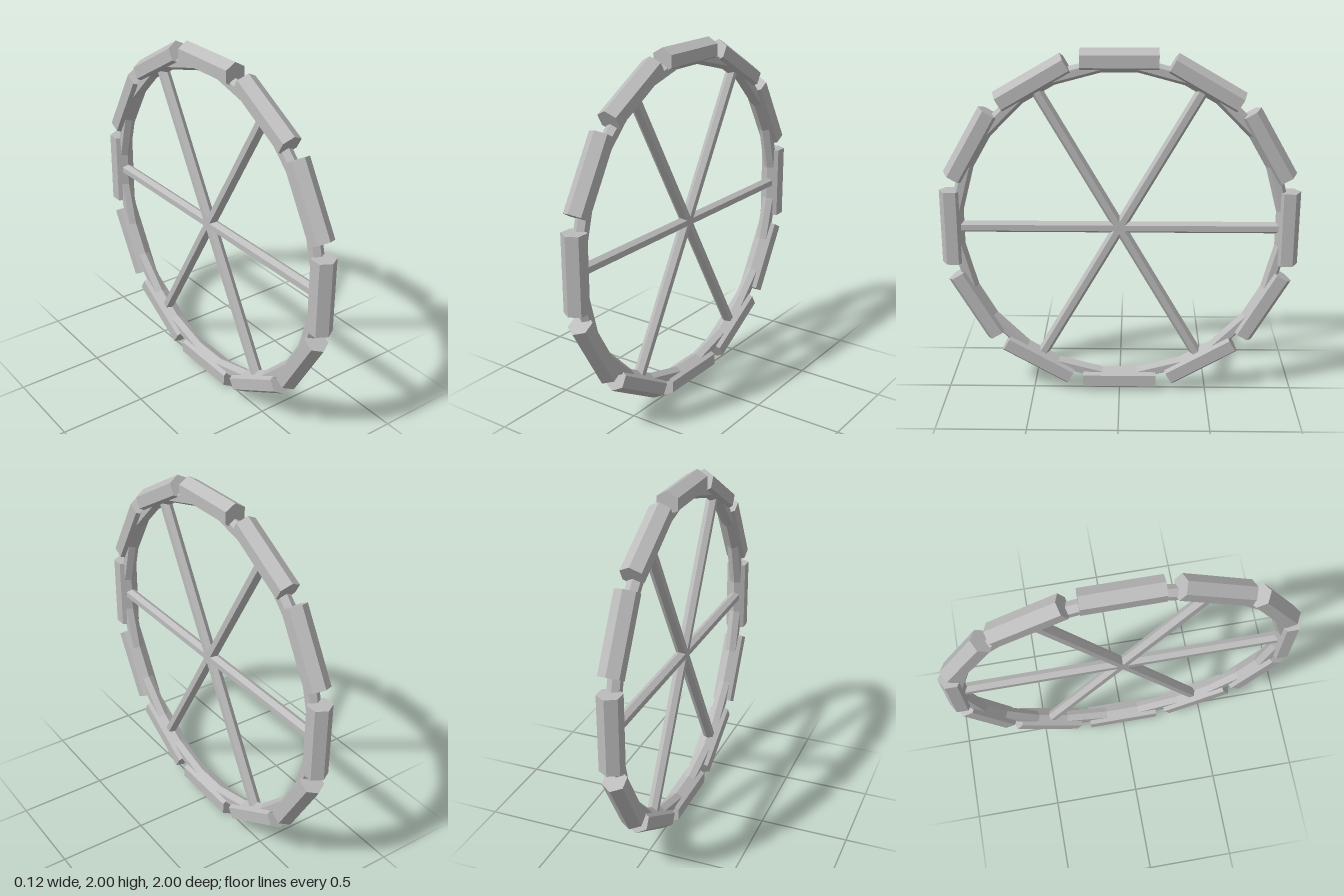
import * as THREE from 'three';

const R = 0.9333; // radius of the rim centre line

export function createModel() {
  const model = new THREE.Group();
  model.name = 'spokedWheel';
  const grey = new THREE.MeshStandardMaterial({ color: 0xbcbcbc, flatShading: true });
  grey.name = 'grey';

  // The wheel is laid out in the XY plane, then turned to face sideways
  const wheel = new THREE.Group();
  wheel.name = 'wheel';
  wheel.position.y = 1;
  wheel.rotation.y = Math.PI / 2;
  model.add(wheel);

  // Six-sided bar along y, with flat faces towards +z and -z
  const hexBar = (radius, length) =>
    new THREE.CylinderGeometry(radius, radius, length, 6, 1, false, Math.PI / 6);

  const add = (geometry, name) => {
    const mesh = new THREE.Mesh(geometry, grey);
    mesh.name = name;
    wheel.add(mesh);
    return mesh;
  };

  // Twelve-cornered rim with a six-sided section
  add(new THREE.TorusGeometry(R, 0.04, 6, 12), 'rim');

  // Tread blocks, one over each rim corner
  const blockGeometry = hexBar(0.0667, 0.422);
  for (let i = 0; i < 12; i++) {
    const a = (i * Math.PI) / 6;
    const block = add(blockGeometry, 'treadBlock');
    block.position.set(R * Math.cos(a), R * Math.sin(a), 0);
    block.rotation.z = a;
  }

  // Three full-width bars make six spokes
  const spokeGeometry = hexBar(0.0333, 2 * R);
  for (let i = 0; i < 3; i++) {
    add(spokeGeometry, 'spoke').rotation.z = Math.PI / 2 + (i * Math.PI) / 3;
  }

  return model;
}
